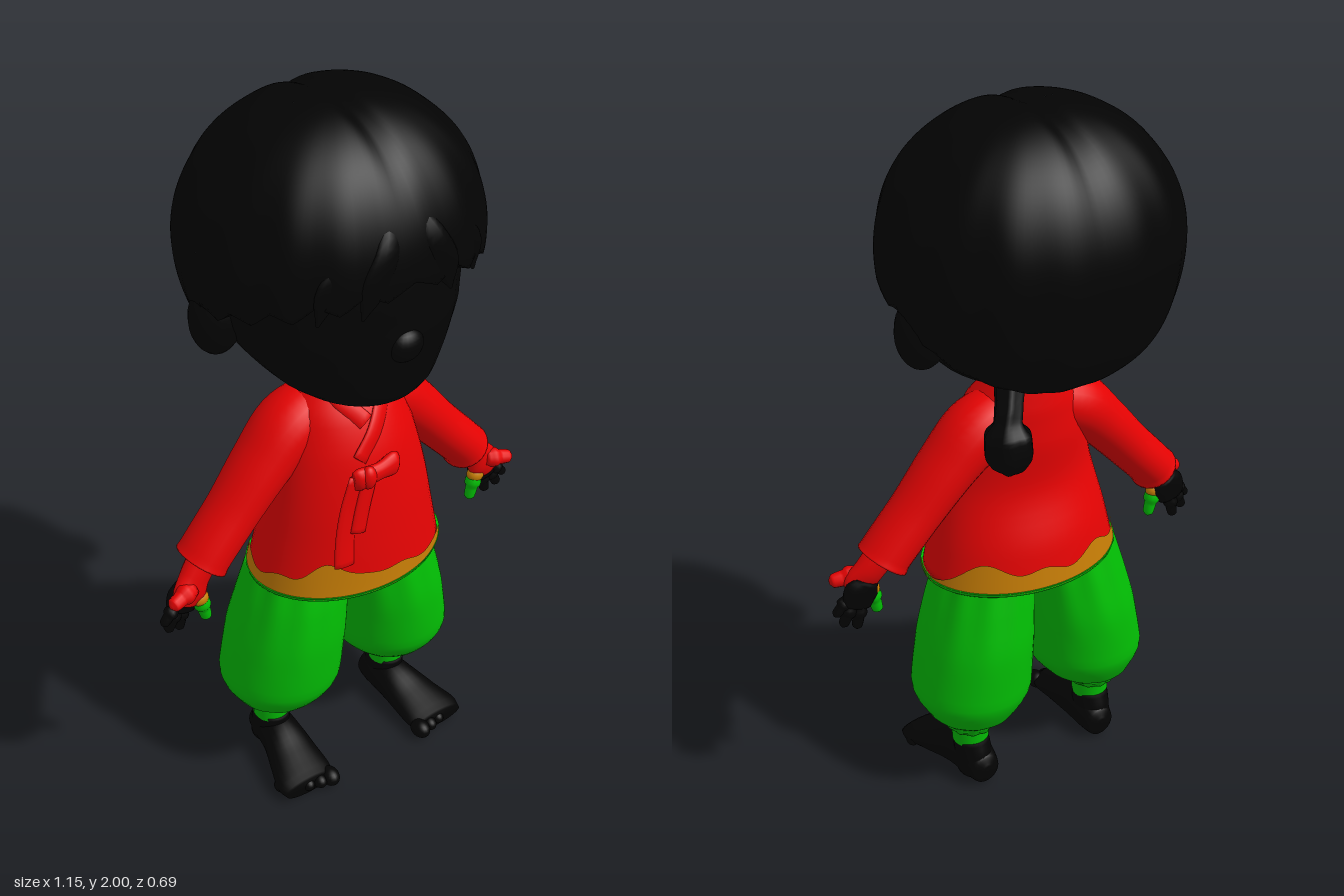
import * as THREE from 'three';
import { mergeVertices } from 'three/addons/utils/BufferGeometryUtils.js';

const V = (x, y, z) => new THREE.Vector3(x, y, z);
const mat = (name, color) => new THREE.MeshStandardMaterial({ name, color });

// Smooth skin through elliptical rings. Row: [x, y, z, width radius, depth radius].
function loft(rows, { axis, ref = V(0, 0, 1), seg = 24, steps = 5, fold, lift, open } = {}) {
  const path = new THREE.CatmullRomCurve3(rows.map(r => V(r[0], r[1], r[2])));
  const size = new THREE.CatmullRomCurve3(rows.map(r => V(r[3], r[4], 0)));
  const n = (rows.length - 1) * steps, pos = [], idx = [];
  for (let i = 0; i <= n; i++) {
    const s = i / n, c = path.getPoint(s), r = size.getPoint(s);
    const t = axis || path.getTangent(s);
    const u = t.clone().cross(ref).normalize(), v = u.clone().cross(t).normalize();
    for (let j = 0; j < seg; j++) {
      const a = (j / seg) * Math.PI * 2, k = fold ? fold(a, s) : 1;
      const p = c.clone().addScaledVector(u, r.x * k * Math.cos(a)).addScaledVector(v, r.y * k * Math.sin(a));
      pos.push(p.x, p.y + (lift ? lift(a, s) : 0), p.z);
    }
  }
  for (let i = 0; i < n; i++) for (let j = 0; j < seg; j++) {
    const k = (j + 1) % seg, a = i * seg + j, b = i * seg + k;
    idx.push(a, a + seg, b, b, a + seg, b + seg);
  }
  if (!open) {
    const c0 = (n + 1) * seg, last = n * seg, e = rows[rows.length - 1];
    pos.push(rows[0][0], rows[0][1], rows[0][2], e[0], e[1], e[2]);
    for (let j = 0; j < seg; j++) {
      const k = (j + 1) % seg;
      idx.push(c0, j, k, c0 + 1, last + k, last + j);
    }
  }
  const g = new THREE.BufferGeometry();
  g.setAttribute('position', new THREE.Float32BufferAttribute(pos, 3));
  g.setIndex(idx);
  g.computeVertexNormals();
  return g;
}

const UP = V(0, 1, 0);
const TORSO = [
  [0, 0.685, 0.07, 0.28, 0.21], [0, 0.8, 0.075, 0.255, 0.195], [0, 0.95, 0.088, 0.22, 0.163],
  [0, 1.08, 0.073, 0.19, 0.152], [0, 1.18, 0.053, 0.155, 0.128], [0, 1.27, 0.02, 0.09, 0.08],
];

// Front depth of the jacket at a given place
function chestZ(x, y) {
  let i = 0;
  while (i < TORSO.length - 2 && TORSO[i + 1][1] < y) i++;
  const a = TORSO[i], b = TORSO[i + 1], t = (y - a[1]) / (b[1] - a[1]);
  const [, , cz, rx, rz] = a.map((v, k) => v + (b[k] - v) * t);
  return cz + rz * Math.sqrt(Math.max(0, 1 - (x / rx) ** 2));
}

// Scallops of the hem trim: [angle, width, height]
const SCALLOPS = [
  [2.27, 0.18, 0.075], [1.85, 0.22, 0.035], [1.4, 0.15, 0.025], [0.8, 0.2, 0.01], [0, 0.3, -0.018],
  [5.5, 0.24, 0.062], [4.85, 0.16, 0.035], [4.2, 0.2, 0.05], [3.5, 0.2, 0.038], [2.8, 0.18, 0.035],
];
const scallop = (a, s) => s * SCALLOPS.reduce((h, [c, w, k]) => h + k * Math.exp((Math.cos(a - c) - 1) / (w * w)), 0);

// Hair cap: a sphere remapped to a soft mop with a jagged rim
function hairCap() {
  let g = new THREE.SphereGeometry(1, 120, 48);
  const p = g.attributes.position;
  const soft = v => Math.sign(v) * Math.abs(v) ** 0.9;
  for (let i = 0; i < p.count; i++) {
    const x = p.getX(i), y = p.getY(i), z = p.getZ(i);
    const phi = Math.acos(THREE.MathUtils.clamp(y, -1, 1)), th = Math.atan2(x, z), f = Math.cos(th);
    const jag = Math.abs(((th * 3.2 + 20) % 1) - 0.5) * (f > 0 ? 0.07 : 0.02);
    const rim = 1.5 + (f > 0 ? 0.1 : 0.18) * f + jag;
    const q = Math.min(phi / (0.93 * Math.PI), 1) * Math.acos((rim - 1.64) / 0.36);
    let r = Math.pow(Math.sin(q), q < Math.PI / 2 ? 0.88 : 0.58);
    r *= 1 + 0.008 * Math.cos(15 * th) * Math.sin(q) ** 2;
    if (phi > 0.93 * Math.PI) r *= 0.8;
    const hx = soft(Math.sin(th)) * r * 0.386;
    const part = 0.015 * Math.exp(-((hx / 0.03) ** 2)) * Math.max(0, Math.cos(q));
    p.setXYZ(i, hx, 1.64 + 0.36 * Math.cos(q) - part, soft(f) * r * 0.343);
  }
  g.deleteAttribute('normal');
  g.deleteAttribute('uv');
  g = mergeVertices(g, 1e-4);
  g.computeVertexNormals();
  return g;
}

export function createModel() {
  const root = new THREE.Group();
  root.name = 'child';
  const black = mat('black', 0x030303), red = mat('red', 0xe60303);
  const green = mat('green', 0x02be04), ochre = mat('ochre', 0xc87e06);
  const add = (parent, name, geometry, material) => {
    const m = new THREE.Mesh(geometry, material);
    m.name = name;
    parent.add(m);
    return m;
  };
  const ball = (parent, name, material, c, s) => {
    const m = add(parent, name, new THREE.SphereGeometry(1, 20, 14), material);
    m.position.set(...c);
    m.scale.set(...s);
    return m;
  };

  // Head, face and hair
  const head = new THREE.Group();
  head.name = 'head';
  head.position.x = 0.004;
  root.add(head);
  add(head, 'face', loft([
    [0, 1.257, 0.12, 0.06, 0.07], [0, 1.268, 0.12, 0.14, 0.15], [0, 1.31, 0.08, 0.21, 0.23],
    [0, 1.39, 0.035, 0.275, 0.285], [0, 1.48, 0.01, 0.318, 0.315], [0, 1.6, 0, 0.335, 0.318],
    [0, 1.75, 0, 0.31, 0.28], [0, 1.85, 0, 0.22, 0.19],
  ], { axis: UP, seg: 40 }), black);
  ball(head, 'nose', black, [0, 1.455, 0.312], [0.05, 0.045, 0.034]);
  add(head, 'neck', new THREE.CylinderGeometry(0.075, 0.08, 0.14, 24), black).position.set(0, 1.24, 0.02);
  add(head, 'hair', hairCap(), black);
  for (const s of [-1, 1]) {
    ball(head, 'ear', black, [s * 0.325, 1.48, -0.02], [0.068, 0.1, 0.065]);
    [[0.1, 0.305], [0.2, 0.265]].forEach(([x, z]) => add(head, 'fringeLock', loft([
      [s * 0.02, 1.84, 0.26, 0.008, 0.006], [s * x * 0.6, 1.74, z + 0.015, 0.035, 0.016],
      [s * x, 1.66, z + 0.02, 0.04, 0.016], [s * (x + 0.03), 1.57, z + 0.01, 0.004, 0.004],
    ], { seg: 12 }), black));
  }
  add(head, 'ponytail', loft([
    [0.16, 1.37, -0.16, 0.04, 0.04], [0.185, 1.32, -0.195, 0.034, 0.036], [0.2, 1.285, -0.215, 0.036, 0.036],
    [0.205, 1.25, -0.222, 0.06, 0.06], [0.205, 1.21, -0.225, 0.062, 0.062], [0.206, 1.17, -0.225, 0.042, 0.042],
    [0.206, 1.15, -0.22, 0.015, 0.015],
  ], { fold: a => 1 + 0.08 * Math.cos(6 * a) }), black);

  // Jacket with scalloped hem, collar and ribbon tie
  const jacket = new THREE.Group();
  jacket.name = 'jacket';
  root.add(jacket);
  add(jacket, 'jacketBody', loft(TORSO, { axis: UP, seg: 48 }), red);
  add(jacket, 'hemTrim', loft([[0, 0.683, 0.07, 0.284, 0.215], [0, 0.71, 0.072, 0.28, 0.213]],
    { axis: UP, seg: 120, open: true, lift: scallop, fold: (a, s) => 1 - 0.65 * scallop(a, s) }), ochre);
  add(jacket, 'hemEdge', loft([[0, 0.677, 0.07, 0.283, 0.213], [0, 0.689, 0.07, 0.286, 0.217]],
    { axis: UP, seg: 60 }), green);
  const band = (name, pts, w) => add(jacket, name, loft(
    pts.map(([x, y, dz = 0.004]) => [x, y, chestZ(x, y) + dz, w, 0.009]), { seg: 12 }), red);
  band('collarOver', [[0.075, 1.25], [0.05, 1.2], [0, 1.14], [-0.06, 1.08]], 0.026);
  band('collarUnder', [[-0.075, 1.25], [-0.055, 1.21], [-0.02, 1.165]], 0.024);
  band('longRibbon', [[-0.07, 1.04, 0.012], [-0.1, 0.95], [-0.118, 0.86], [-0.125, 0.785]], 0.033);
  band('shortRibbon', [[-0.04, 1.04, 0.012], [-0.07, 0.94], [-0.085, 0.88]], 0.024);
  add(jacket, 'bow', loft([
    [-0.092, 1.04, 0.242, 0.028, 0.012], [-0.075, 1.042, 0.246, 0.033, 0.02],
    [-0.02, 1.047, 0.25, 0.026, 0.018], [0.025, 1.05, 0.246, 0.035, 0.02], [0.042, 1.05, 0.242, 0.03, 0.012],
  ], { seg: 16 }), red);
  ball(jacket, 'knot', red, [-0.055, 1.045, 0.255], [0.022, 0.034, 0.02]);

  // Left arm: sleeve, wrist and hand
  const arm = new THREE.Group();
  arm.name = 'arm';
  add(arm, 'sleeve', loft([
    [0.06, 1.165, 0.035, 0.075, 0.08], [0.15, 1.122, 0.035, 0.085, 0.095], [0.232, 1.045, 0.038, 0.075, 0.09],
    [0.335, 0.928, 0.042, 0.067, 0.08], [0.42, 0.833, 0.045, 0.066, 0.078], [0.435, 0.813, 0.045, 0.069, 0.08],
  ]), red);
  add(arm, 'wrist', loft([
    [0.42, 0.84, 0.052, 0.045, 0.04], [0.465, 0.785, 0.06, 0.044, 0.034], [0.488, 0.748, 0.07, 0.05, 0.026],
    [0.502, 0.715, 0.07, 0.032, 0.018],
  ], { seg: 16 }), red);
  add(arm, 'palm', loft([
    [0.48, 0.76, 0.05, 0.035, 0.024], [0.497, 0.73, 0.053, 0.05, 0.026], [0.51, 0.69, 0.055, 0.042, 0.022],
  ], { seg: 16 }), black);
  const finger = (name, material, a, b, r) => add(arm, name, loft([
    [...a, r, r], a.map((v, i) => v + (b[i] - v) * 0.5).concat(r, r),
    a.map((v, i) => v + (b[i] - v) * 0.88).concat(r * 0.85, r * 0.85), [...b, r * 0.25, r * 0.25],
  ], { seg: 12 }), material);
  finger('thumb', red, [0.485, 0.768, 0.08], [0.564, 0.755, 0.103], 0.022);
  finger('indexFinger', black, [0.53, 0.715, 0.062], [0.572, 0.67, 0.065], 0.015);
  finger('middleFinger', black, [0.522, 0.7, 0.055], [0.555, 0.635, 0.058], 0.016);
  finger('ringFinger', black, [0.502, 0.695, 0.05], [0.517, 0.62, 0.05], 0.016);
  finger('littleFinger', green, [0.46, 0.72, 0.07], [0.441, 0.635, 0.07], 0.018);
  ball(arm, 'palmEdge', ochre, [0.461, 0.716, 0.07], [0.026, 0.023, 0.023]);

  // Left leg: gathered trousers, ankle and foot
  const leg = new THREE.Group();
  leg.name = 'leg';
  const gather = (a, s) => 1 + 0.035 * Math.cos(11 * a) * (Math.max(0, 1 - s * 2.6) + Math.max(0, s * 2 - 1.2));
  add(leg, 'trouserLeg', loft([
    [0.205, 0.185, 0.02, 0.065, 0.07], [0.205, 0.212, 0.02, 0.08, 0.082], [0.195, 0.245, 0.03, 0.125, 0.132],
    [0.186, 0.33, 0.04, 0.168, 0.176], [0.168, 0.47, 0.045, 0.16, 0.178], [0.146, 0.6, 0.05, 0.147, 0.16],
    [0.13, 0.69, 0.05, 0.135, 0.14],
  ], { axis: UP, seg: 66, fold: gather }), green);
  const frill = add(leg, 'ankleBand', new THREE.TorusGeometry(0.062, 0.018, 10, 28), green);
  frill.rotation.x = Math.PI / 2;
  frill.position.set(0.205, 0.21, 0.02);
  add(leg, 'trouserCuff', new THREE.CylinderGeometry(0.056, 0.052, 0.08, 24), green).position.set(0.205, 0.17, 0.02);
  add(leg, 'ankle', loft([
    [0.202, 0.03, 0.0, 0.05, 0.055], [0.203, 0.09, 0.01, 0.051, 0.062], [0.205, 0.14, 0.02, 0.05, 0.056],
  ], { axis: UP }), black);
  add(leg, 'foot', loft([
    [0.197, 0.05, -0.064, 0.015, 0.02], [0.197, 0.052, -0.05, 0.042, 0.045], [0.199, 0.062, 0, 0.055, 0.06],
    [0.204, 0.06, 0.07, 0.062, 0.058], [0.217, 0.045, 0.15, 0.077, 0.043], [0.227, 0.034, 0.215, 0.087, 0.032],
    [0.229, 0.03, 0.25, 0.078, 0.025],
  ], { axis: V(0, 0, 1), ref: UP }), black);
  for (let i = 0; i < 5; i++) {
    const r = i === 0 ? 0.026 : 0.021 - i * 0.001;
    ball(leg, 'toe', black, [0.162 + i * 0.034, 0.028, 0.25 - i * i * 0.003], [r, r, r * 1.3]);
  }
  leg.position.x = -0.01;

  // Mirror the limbs
  for (const limb of [arm, leg]) {
    const right = limb.clone();
    right.scale.x = -1;
    right.name = limb.name + 'Right';
    limb.name += 'Left';
    root.add(limb, right);
  }
  return root;
}
